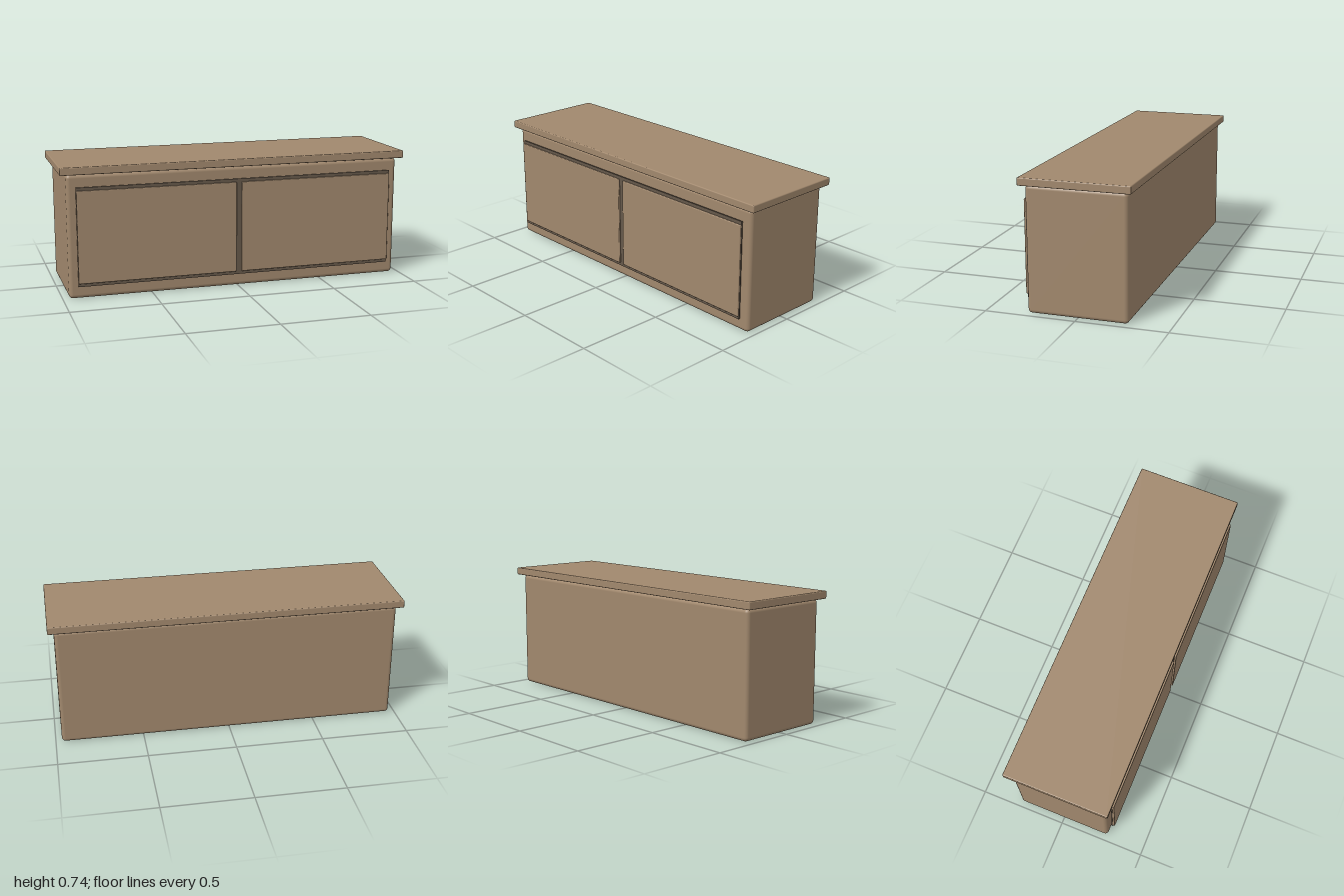
import * as THREE from 'three';
import { RoundedBoxGeometry } from 'three/addons/geometries/RoundedBoxGeometry.js';

export function createModel() {
  const model = new THREE.Group();
  model.name = 'sideboard';
  const wood = new THREE.MeshStandardMaterial({ color: 0xa1886d });
  const darkWood = new THREE.MeshStandardMaterial({ color: 0x65584a });

  // Box given by its min and max corners, with rounded edges if a radius is set
  function addBox(name, min, max, radius, material) {
    const size = max.map((v, i) => v - min[i]);
    const geometry = radius
      ? new RoundedBoxGeometry(...size, 4, radius)
      : new THREE.BoxGeometry(...size);
    const mesh = new THREE.Mesh(geometry, material);
    mesh.name = name;
    mesh.position.set(...max.map((v, i) => (v + min[i]) / 2));
    model.add(mesh);
  }

  // Cabinet body and overhanging top
  addBox('body', [-0.965, 0, -0.276], [0.965, 0.691, 0.276], 0.022, wood);
  addBox('top', [-1, 0.692, -0.302], [1, 0.735, 0.302], 0.006, wood);

  // Dark panel standing just off the body, showing around the doors
  addBox('backingPanel', [-0.915, 0.07, 0.284], [0.915, 0.622, 0.292], 0, darkWood);

  // Pair of sliding doors
  for (const [name, x0, x1] of [['leftDoor', 0.015, 0.915], ['rightDoor', -0.915, -0.015]]) {
    addBox(name, [x0, 0.088, 0.291], [x1, 0.605, 0.303], 0.005, wood);
  }

  return model;
}
